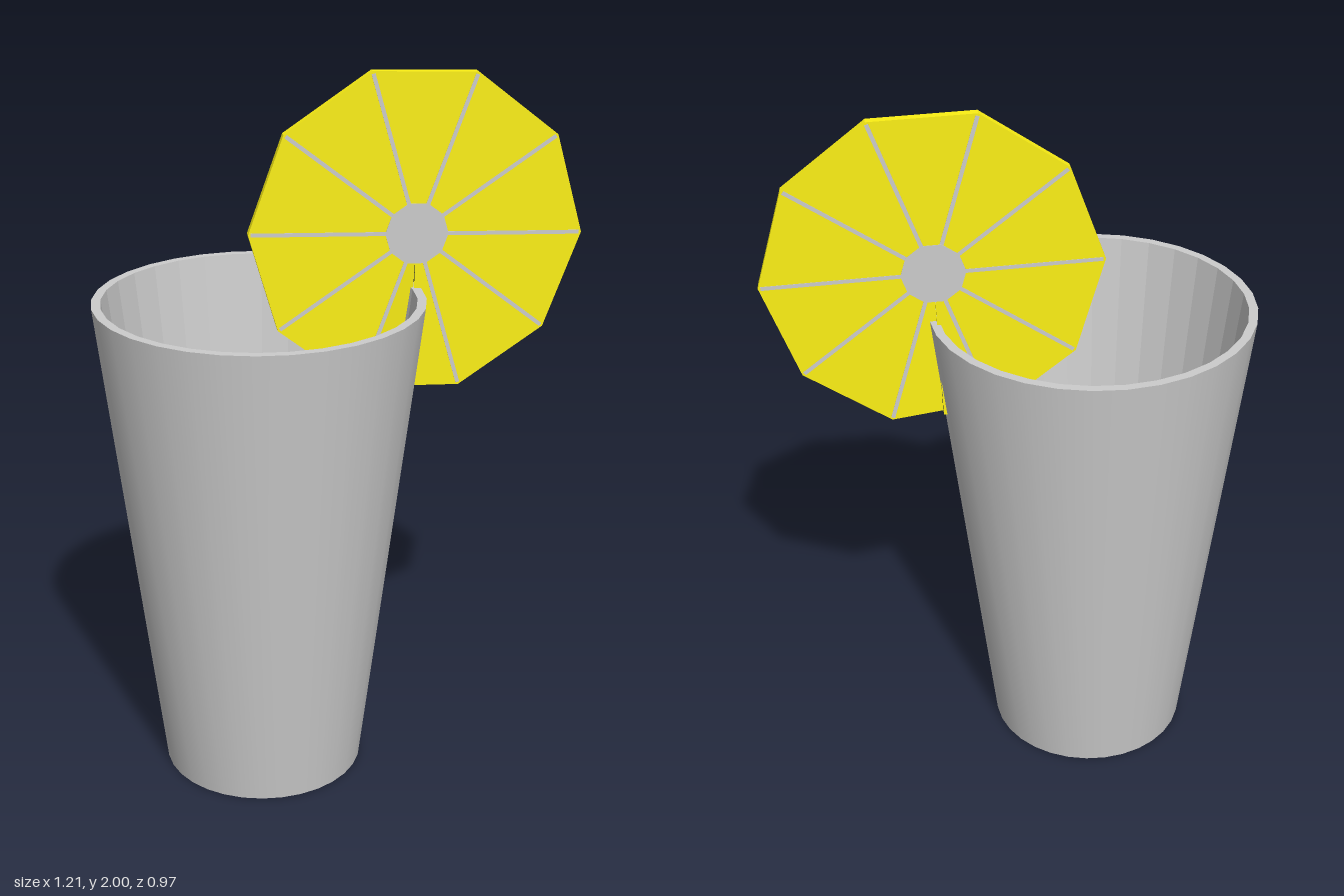
import * as THREE from 'three';
import { toCreasedNormals } from 'three/addons/utils/BufferGeometryUtils.js';

const R = 0.463;        // slice radius
const T = 0.012;        // half the slice thickness
const STEP = Math.PI / 5;
const START = -0.033;   // angle of the first slice corner

function add(parent, name, geometry, material) {
  const mesh = new THREE.Mesh(geometry, material);
  mesh.name = name;
  parent.add(mesh);
  return mesh;
}

// Wedge from the slice centre; front and back each span their own corner numbers
// (a half number is the middle of a decagon side)
function wedge(frontA, frontB, backA, backB) {
  const rim = (k, z) => {
    const r = Number.isInteger(k) ? R : R * Math.cos(STEP / 2);
    const a = START + k * STEP;
    return [r * Math.cos(a), r * Math.sin(a), z];
  };
  const fo = [0, 0, T], fa = rim(frontA, T), fb = rim(frontB, T);
  const bo = [0, 0, -T], ba = rim(backA, -T), bb = rim(backB, -T);
  const corners = [
    fo, fa, fb, bo, bb, ba,       // front and back
    fa, ba, bb, fa, bb, fb,       // rim
    fo, bo, ba, fo, ba, fa,       // first side
    fo, fb, bb, fo, bb, bo,       // second side
  ];
  const g = new THREE.BufferGeometry();
  g.setAttribute('position', new THREE.Float32BufferAttribute(corners.flat(), 3));
  g.computeVertexNormals();
  return g;
}

function makeSlice(grey) {
  const slice = new THREE.Group();
  slice.name = 'citrusSlice';
  const yellow = new THREE.MeshStandardMaterial({ color: 0xfcf014, flatShading: true });

  // Nine whole segments; the tenth (corners 7 to 8) is cut open
  for (let k = 8; k < 17; k++) add(slice, 'segment', wedge(k, k + 1, k, k + 1), yellow);

  // Slanted walls of the notch that grips the rim
  add(slice, 'notchOuterWall', wedge(7.5, 8, 8, 8), yellow);
  add(slice, 'notchInnerWall', wedge(7, 7, 7, 7.5), yellow);

  // Pith lines between the segments
  for (let k = 0; k < 10; k++) {
    const line = new THREE.BoxGeometry(R * 0.985, 0.011, 2 * T + 0.002);
    line.translate(R * 0.4925, 0, 0);
    add(slice, 'pithLine', line, grey).rotation.z = START + k * STEP;
  }

  // Pith core
  const core = new THREE.CylinderGeometry(0.088, 0.088, 2 * T + 0.003, 10);
  core.rotateX(Math.PI / 2);
  add(slice, 'pithCore', core, grey).rotation.z = START + Math.PI / 2;
  return slice;
}

export function createModel() {
  const model = new THREE.Group();
  model.name = 'drinkWithSlice';
  const grey = new THREE.MeshStandardMaterial({ color: 0xcccccc });
  const greyFlat = new THREE.MeshStandardMaterial({ color: 0xcccccc, flatShading: true });
  const red = new THREE.MeshStandardMaterial({ color: 0xfe1010 });
  const lathe = (points) =>
    new THREE.LatheGeometry(points.map(([x, y]) => new THREE.Vector2(x, y)), 32);

  // Tapered glass: smooth outside with sharp rim, faceted inside
  const glass = new THREE.Group();
  glass.name = 'glass';
  glass.position.set(-0.153, 0, -0.03);
  model.add(glass);
  add(glass, 'glassOutside',
    toCreasedNormals(lathe([[0, 0], [0.285, 0], [0.453, 1.4], [0.428, 1.4]]), 0.6), grey);
  add(glass, 'glassInside', lathe([[0.428, 1.4], [0.26, 0.03], [0, 0.03]]), greyFlat);

  // Drink filling the glass
  const drink = new THREE.CylinderGeometry(0.37, 0.261, 0.885, 32);
  add(glass, 'drink', drink, red).position.y = 0.4775;

  // Slice hooked over the rim
  const slice = makeSlice(grey);
  slice.position.set(0.223, 1.555, 0.198);
  slice.rotation.y = -0.635;
  model.add(slice);
  return model;
}
